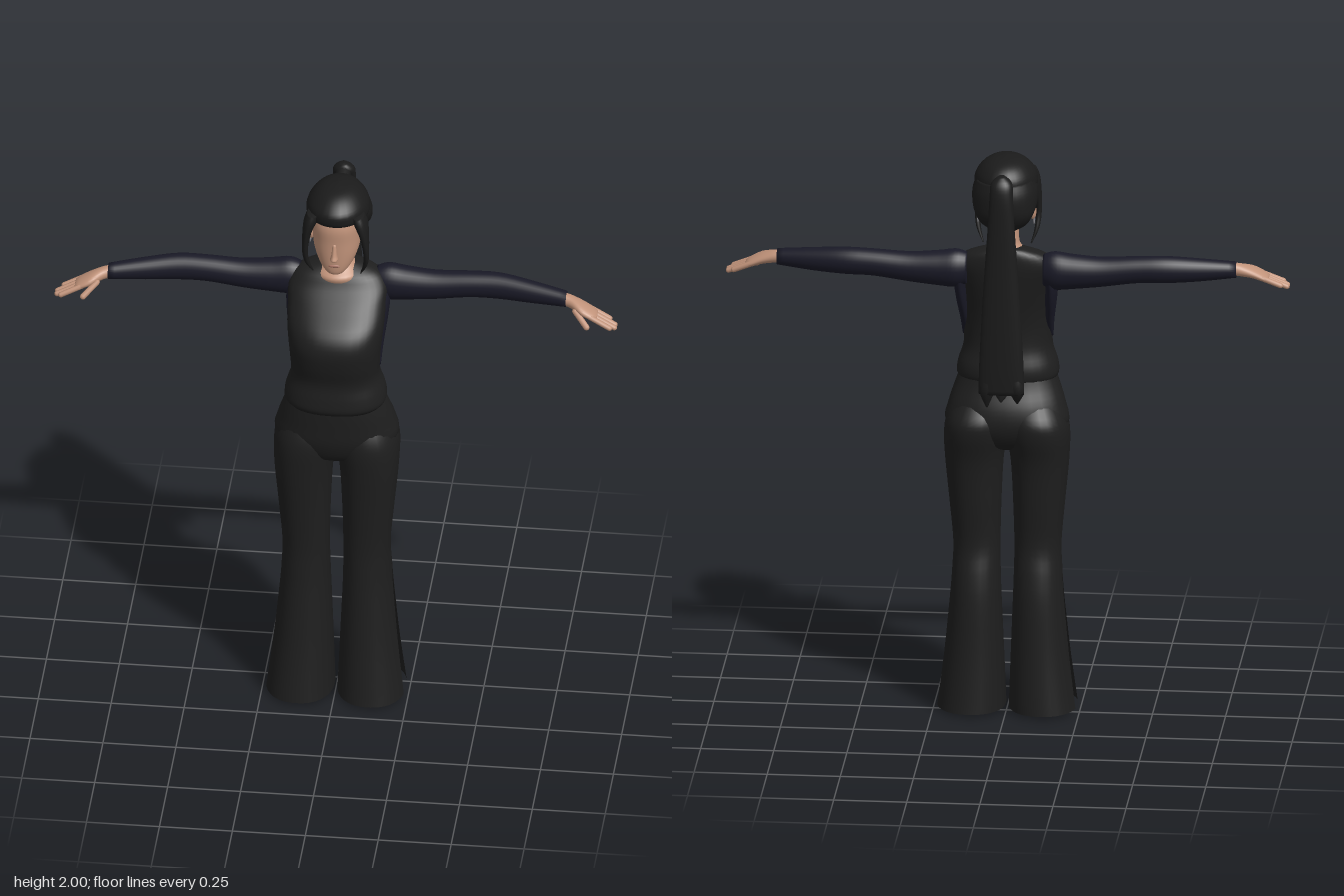
import * as THREE from 'three';

const mat = (name, color, side = THREE.FrontSide) => {
  const m = new THREE.MeshStandardMaterial({ color, side });
  m.name = name;
  return m;
};

// Smooth blend between rows b and c
const blend = (a, b, c, d, t) =>
  b + 0.5 * t * (c - a + t * (2 * a - 5 * b + 4 * c - d + t * (3 * (b - c) + d - a)));

// Loft through oval rows: [along, centre, half width, z back, z front, slit angle]
function loft(rows, { axis = 'y', n = 28, steps = 4, e = 1, slit = false, cap = true } = {}) {
  const pos = [], idx = [], last = rows.length - 1, rings = [];
  const row = (i) => rows[Math.max(0, Math.min(last, i))];
  for (let i = 0; i < last; i++) {
    for (let s = 0; s < steps; s++) {
      rings.push(row(i).map((v, k) => blend(row(i - 1)[k], v, row(i + 1)[k], row(i + 2)[k], s / steps)));
    }
  }
  rings.push(rows[last]);
  const put = (t, a, z) => (axis === 'y' ? pos.push(a, t, z) : pos.push(t, a, z));
  const tri = (a, b, c) => (axis === 'y' ? idx.push(a, b, c) : idx.push(a, c, b));
  const pow = (v) => Math.sign(v) * Math.abs(v) ** e;
  const cols = slit ? n + 1 : n;
  rings.forEach(([t, a, r, zb, zf, g = 0]) => {
    const gap = Math.max(0, g);
    for (let j = 0; j < cols; j++) {
      const q = gap + (2 * Math.PI - 2 * gap) * (j / n);
      put(t, a + Math.max(0, r) * pow(Math.cos(q)), (zb + zf) / 2 + ((zf - zb) / 2) * pow(Math.sin(q)));
    }
  });
  for (let i = 0; i < rings.length - 1; i++) {
    for (let j = 0; j < n; j++) {
      const k = (j + 1) % cols, a = i * cols + j, b = i * cols + k;
      tri(a, a + cols, b);
      tri(b, a + cols, b + cols);
    }
  }
  if (cap) {
    [0, rings.length - 1].forEach((i) => {
      const [t, a, , zb, zf] = rings[i], c = pos.length / 3;
      put(t, a, (zb + zf) / 2);
      for (let j = 0; j < n; j++) {
        const p = i * cols + j, q = i * cols + ((j + 1) % cols);
        if (i === 0) tri(c, p, q); else tri(c, q, p);
      }
    });
  }
  const geo = new THREE.BufferGeometry();
  geo.setAttribute('position', new THREE.Float32BufferAttribute(pos, 3));
  geo.setIndex(idx);
  geo.computeVertexNormals();
  return geo;
}

// Rounded rod between two points
function rod(p, q, r) {
  const a = new THREE.Vector3(...p), b = new THREE.Vector3(...q), d = b.clone().sub(a);
  const geo = new THREE.CapsuleGeometry(r, d.length(), 5, 10);
  geo.applyQuaternion(new THREE.Quaternion().setFromUnitVectors(new THREE.Vector3(0, 1, 0), d.normalize()));
  return geo.translate(...a.add(b).multiplyScalar(0.5).toArray());
}

function mirrored(geo) {
  const m = geo.clone().scale(-1, 1, 1), ix = m.index.array;
  for (let i = 0; i < ix.length; i += 3) [ix[i], ix[i + 1]] = [ix[i + 1], ix[i]];
  m.computeVertexNormals();
  return m;
}

export function createModel() {
  const model = new THREE.Group();
  model.name = 'woman';
  const skin = mat('skin', 0xc1937a), lip = mat('lips', 0xa87565);
  const cloth = mat('black cloth', 0x1e1e1e, THREE.DoubleSide);
  const navy = mat('navy sleeve', 0x191926), hair = mat('black hair', 0x1b1b1b);
  const leather = mat('shoe leather', 0x121212), metal = mat('earring metal', 0x77777c);
  const add = (name, geo, m) => {
    const mesh = new THREE.Mesh(geo, m);
    mesh.name = name;
    model.add(mesh);
  };
  const pair = (name, geo, m) => {
    add('left ' + name, geo, m);
    add('right ' + name, mirrored(geo), m);
  };

  // Flared trousers with a slit on each outer side
  pair('trouser leg', loft([
    [0.01, 0.1225, 0.1175, -0.095, 0.195, 0.28], [0.2, 0.1135, 0.1015, -0.083, 0.168, 0.19],
    [0.4, 0.1075, 0.0875, -0.075, 0.147, 0.08], [0.5, 0.1055, 0.0825, -0.063, 0.14, 0],
    [0.6, 0.1045, 0.0805, -0.046, 0.137, 0], [0.75, 0.109, 0.089, -0.06, 0.146, 0],
    [0.9, 0.112, 0.1, -0.077, 0.158, 0], [1.0, 0.106, 0.109, -0.103, 0.164, 0],
    [1.06, 0.1, 0.102, -0.102, 0.155, 0], [1.12, 0.09, 0.08, -0.06, 0.13, 0],
  ], { slit: true, cap: false, e: 0.9 }), cloth);
  add('trouser hips', loft([
    [0.935, 0, 0.03, 0, 0.07], [0.965, 0, 0.14, -0.06, 0.135], [1.03, 0, 0.21, -0.094, 0.164],
    [1.1, 0, 0.2, -0.09, 0.17], [1.17, 0, 0.177, -0.062, 0.172], [1.23, 0, 0.155, -0.045, 0.17],
  ], { e: 0.9 }), cloth);

  // Sleeveless top
  add('top', loft([
    [1.18, 0, 0.158, -0.042, 0.19], [1.2, 0, 0.174, -0.055, 0.2], [1.24, 0, 0.17, -0.056, 0.198],
    [1.3, 0, 0.152, -0.042, 0.192], [1.37, 0, 0.154, -0.042, 0.21], [1.44, 0, 0.16, -0.052, 0.219],
    [1.5, 0, 0.166, -0.065, 0.195], [1.56, 0, 0.168, -0.077, 0.13], [1.61, 0, 0.168, -0.084, 0.075],
    [1.65, 0, 0.14, -0.085, 0.045], [1.675, 0, 0.08, -0.08, 0.012], [1.682, 0, 0.05, -0.07, 0],
  ], { e: 0.85, n: 36 }), cloth);
  // Bare back shown through the keyhole
  add('bare back upper', loft([
    [1.5, 0, 0.005, -0.069, -0.055], [1.53, 0, 0.03, -0.078, -0.06],
    [1.57, 0, 0.035, -0.086, -0.07], [1.61, 0, 0.01, -0.089, -0.075],
  ], { e: 0.5 }), skin);
  add('bare back lower', loft([
    [1.4, 0, 0.008, -0.049, -0.035], [1.43, 0, 0.035, -0.055, -0.04],
    [1.47, 0, 0.03, -0.063, -0.05], [1.5, 0, 0.005, -0.069, -0.055],
  ], { e: 0.5 }), skin);

  // Sleeves and their side panels
  pair('sleeve', loft([
    [0.13, 1.6, 0.055, -0.075, 0.01], [0.17, 1.599, 0.067, -0.088, 0.018], [0.23, 1.597, 0.061, -0.086, 0.018],
    [0.33, 1.598, 0.052, -0.078, 0.015], [0.45, 1.609, 0.047, -0.073, 0.012], [0.55, 1.611, 0.047, -0.068, 0.014],
    [0.66, 1.607, 0.04, -0.045, 0.028], [0.785, 1.603, 0.028, -0.011, 0.046],
  ], { axis: 'x' }), navy);
  pair('side panel', loft([
    [1.33, 0.143, 0.012, 0.06, 0.085], [1.4, 0.145, 0.016, 0.005, 0.08],
    [1.48, 0.152, 0.02, -0.045, 0.07], [1.55, 0.156, 0.022, -0.07, 0.05], [1.61, 0.15, 0.022, -0.075, 0.02],
  ]), navy);

  // Hands
  pair('palm', loft([
    [0.77, 1.605, 0.022, -0.002, 0.042], [0.8, 1.6, 0.022, 0, 0.052],
    [0.84, 1.588, 0.02, 0.005, 0.083], [0.88, 1.57, 0.016, 0.012, 0.088], [0.895, 1.563, 0.01, 0.02, 0.082],
  ], { axis: 'x' }), skin);
  [[0.02, 0.935, 0.033], [0.04, 0.955, 0.055], [0.06, 0.955, 0.075], [0.078, 0.94, 0.092]].forEach(([z, x, tip], i) => {
    pair('finger ' + (i + 1), rod([0.87, 1.574, z], [x, 1.535 + (0.955 - x) * 0.5, tip], 0.0095), skin);
  });
  pair('thumb', rod([0.82, 1.585, 0.065], [0.863, 1.548, 0.104], 0.0105), skin);

  // Neck, face and ears
  add('neck', loft([
    [1.62, 0, 0.075, -0.07, 0.05], [1.65, 0, 0.077, -0.076, 0.062], [1.675, 0, 0.06, -0.074, 0.035],
    [1.7, 0, 0.047, -0.064, 0.022], [1.76, 0, 0.045, -0.06, 0.03], [1.8, 0, 0.045, -0.06, 0.03],
  ]), skin);
  add('face', loft([
    [1.698, 0, 0.014, 0.075, 0.1], [1.708, 0, 0.033, 0.045, 0.112], [1.735, 0, 0.057, -0.01, 0.117],
    [1.78, 0, 0.076, -0.05, 0.119], [1.83, 0, 0.083, -0.07, 0.12], [1.88, 0, 0.085, -0.07, 0.122],
    [1.92, 0, 0.078, -0.06, 0.112],
  ], { e: 0.92 }), skin);
  add('nose', loft([
    [1.762, 0, 0.008, 0.1, 0.122], [1.772, 0, 0.014, 0.1, 0.142],
    [1.79, 0, 0.01, 0.1, 0.135], [1.83, 0, 0.007, 0.1, 0.122],
  ], { n: 12 }), skin);
  add('lips', new THREE.SphereGeometry(1, 16, 8).scale(0.02, 0.006, 0.004).translate(0, 1.742, 0.117), lip);
  pair('ear', new THREE.SphereGeometry(1, 14, 10).scale(0.012, 0.03, 0.018).translate(0.092, 1.802, -0.008), skin);
  pair('earring', new THREE.TorusGeometry(0.01, 0.0025, 6, 16).rotateY(Math.PI / 2).translate(0.096, 1.768, -0.01), metal);

  // Hair: crown, back, side locks and ponytail
  add('hair crown', loft([
    [1.9, 0, 0.106, -0.13, 0.121], [1.915, 0, 0.109, -0.138, 0.128], [1.945, 0, 0.101, -0.135, 0.126],
    [1.975, 0, 0.077, -0.11, 0.095], [1.993, 0, 0.045, -0.07, 0.055], [2.0, 0, 0.004, -0.02, 0],
  ]), hair);
  add('hair back', loft([
    [1.75, 0, 0.035, -0.09, -0.05], [1.775, 0, 0.075, -0.122, -0.03], [1.81, 0, 0.097, -0.143, -0.018],
    [1.845, 0, 0.11, -0.15, 0.035], [1.89, 0, 0.112, -0.15, 0.075], [1.93, 0, 0.1, -0.138, 0.08],
  ]), hair);
  pair('side lock', loft([
    [1.67, 0.082, 0.002, 0.034, 0.042], [1.72, 0.1, 0.008, 0.045, 0.072], [1.78, 0.105, 0.01, 0.06, 0.098],
    [1.85, 0.098, 0.016, 0.035, 0.115], [1.9, 0.085, 0.024, 0.02, 0.118], [1.93, 0.075, 0.022, 0.03, 0.11],
  ], { n: 16 }), hair);
  add('ponytail tie', rod([0, 1.935, -0.12], [0, 1.945, -0.165], 0.027), hair);
  add('ponytail', loft([
    [1.2, 0, 0.078, -0.205, -0.162], [1.3, 0, 0.076, -0.21, -0.163], [1.55, 0, 0.063, -0.215, -0.17],
    [1.8, 0, 0.046, -0.218, -0.175], [1.91, 0, 0.04, -0.217, -0.165], [1.955, 0, 0.036, -0.207, -0.148],
    [1.978, 0, 0.012, -0.185, -0.155],
  ], { e: 0.9 }), hair);
  [[-0.052, 1.16, -0.165], [0, 1.175, -0.2], [0.05, 1.15, -0.18]].forEach(([x, y, z], i) => {
    add('ponytail tip ' + (i + 1), loft([
      [y, x, 0.003, z - 0.004, z + 0.004], [1.21, x, 0.026, -0.204, -0.163], [1.28, x * 0.8, 0.024, -0.2, -0.17],
    ], { n: 12 }), hair);
  });

  // Lower legs and heeled shoes
  pair('lower leg', loft([
    [0.07, 0.125, 0.03, -0.03, 0.04], [0.14, 0.125, 0.03, -0.024, 0.036], [0.25, 0.125, 0.04, -0.036, 0.05],
    [0.38, 0.122, 0.05, -0.045, 0.065], [0.55, 0.112, 0.05, -0.035, 0.075],
  ]), skin);
  pair('shoe sole', loft([
    [0, 0.122, 0.034, 0.045, 0.155], [0.02, 0.122, 0.038, 0.035, 0.16],
    [0.05, 0.122, 0.036, -0.01, 0.145], [0.09, 0.123, 0.034, -0.042, 0.09], [0.12, 0.124, 0.03, -0.04, 0.045],
  ]), leather);
  pair('shoe heel', new THREE.CylinderGeometry(0.024, 0.016, 0.09, 14).translate(0.123, 0.045, -0.025), leather);
  pair('ankle strap', new THREE.TorusGeometry(0.032, 0.007, 8, 24).rotateX(Math.PI / 2).translate(0.125, 0.165, 0.006), leather);

  return model;
}
